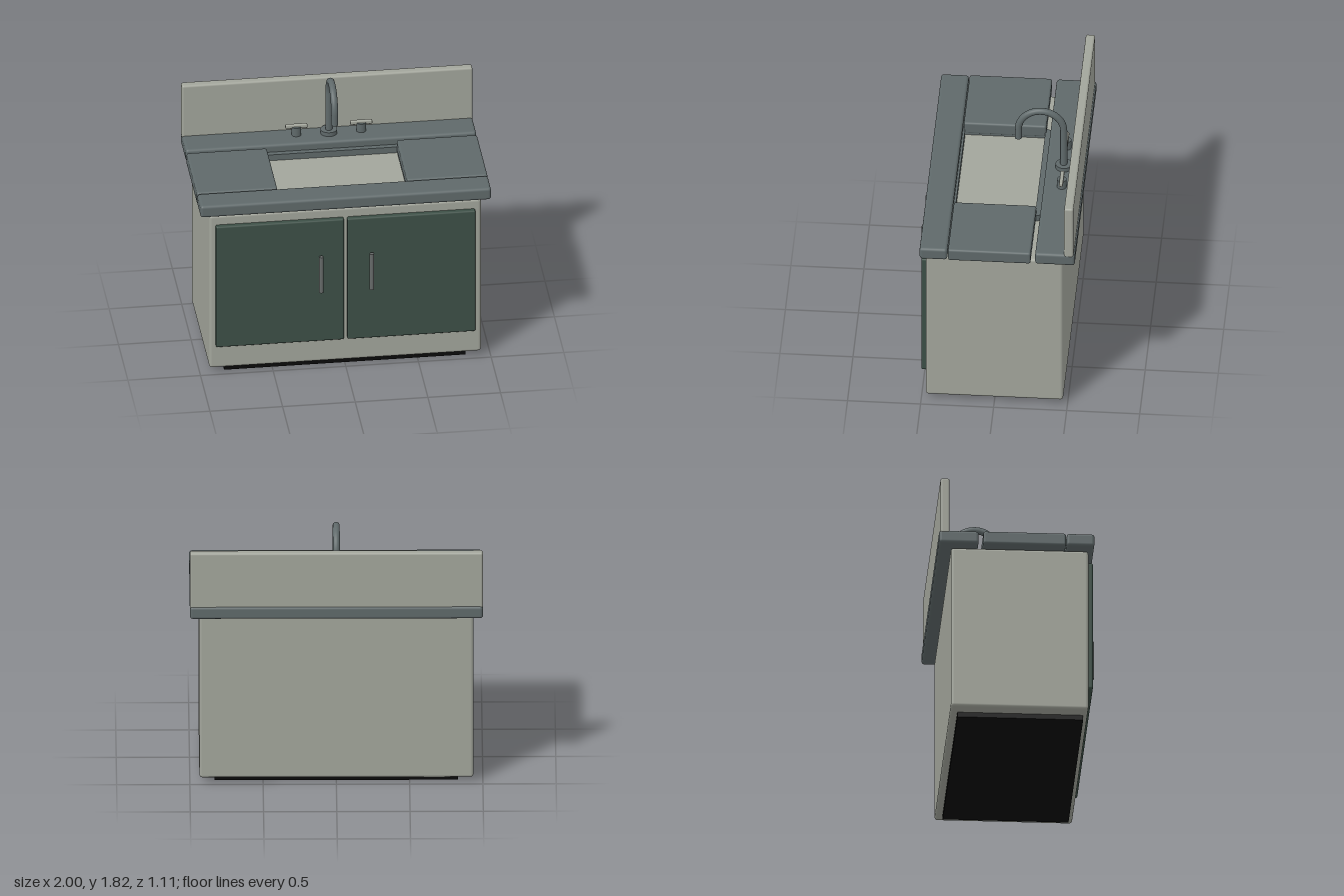
import * as THREE from 'three';
import { RoundedBoxGeometry } from 'three/addons/geometries/RoundedBoxGeometry.js';

const mat = (name, color) => Object.assign(new THREE.MeshStandardMaterial({ color }), { name });

export function createModel() {
  const root = new THREE.Group();
  root.name = 'sinkCabinet';

  const paint = mat('warmGrey', 0xa2a59b);
  const stone = mat('slateGrey', 0x5f696a);
  const green = mat('darkGreen', 0x3c4f46);
  const steel = mat('handleGrey', 0x666a69);
  const black = mat('black', 0x0a0a0a);

  const add = (name, geometry, material, parent = root) => {
    const mesh = new THREE.Mesh(geometry, material);
    mesh.name = name;
    parent.add(mesh);
    return mesh;
  };
  // Rounded box given by its limits on each axis
  const block = (name, [x0, x1], [y0, y1], [z0, z1], radius, material, parent) => {
    const geometry = new RoundedBoxGeometry(x1 - x0, y1 - y0, z1 - z0, 3, radius);
    geometry.translate((x0 + x1) / 2, (y0 + y1) / 2, (z0 + z1) / 2);
    return add(name, geometry, material, parent);
  };
  // Upright cylinder standing on height y0
  const post = (name, x, z, y0, y1, r, material, parent) => {
    const geometry = new THREE.CylinderGeometry(r, r, y1 - y0, 24);
    geometry.translate(x, (y0 + y1) / 2, z);
    return add(name, geometry, material, parent);
  };

  // Cabinet body on a recessed plinth
  add('plinth', new THREE.BoxGeometry(1.66, 0.06, 0.86), black).position.set(0, 0.03, 0.01);
  block('cabinetBody', [-0.935, 0.935], [0.035, 1.225], [-0.47, 0.47], 0.02, paint);

  // Countertop slabs around the basin opening
  const top = [1.235, 1.325];
  block('counterFront', [-1, 1], top, [0.318, 0.508], 0.02, stone);
  block('counterBack', [-1, 1], top, [-0.555, -0.283], 0.02, stone);
  block('backsplash', [-1, 1], [1.305, 1.717], [-0.545, -0.482], 0.015, paint);

  // Doors, pulls, side slabs and taps, mirrored left and right
  for (const [side, s] of [['left', 1], ['right', -1]]) {
    const span = (a, b) => (s > 0 ? [a, b] : [-b, -a]);
    block(side + 'CounterSide', span(0.447, 1), top, [-0.252, 0.313], 0.015, stone);
    block(side + 'Door', span(0.012, 0.893), [0.212, 1.155], [0.455, 0.504], 0.012, green);
    post(side + 'DoorHandle', s * 0.174, 0.54, 0.615, 0.893, 0.015, steel);

    const tap = new THREE.Group();
    tap.name = side + 'Tap';
    root.add(tap);
    post('tapStem', s * 0.223, -0.408, 1.315, 1.39, 0.033, stone, tap);
    block('tapLever', span(0.147, 0.299), [1.376, 1.406], [-0.421, -0.395], 0.008, paint, tap);
  }

  // Basin rim: rounded ring just below the slabs
  const rim = new THREE.Shape();
  const w = 0.493, near = 0.345, far = -0.285, c = 0.035;
  rim.moveTo(-w + c, far);
  rim.lineTo(w - c, far);
  rim.quadraticCurveTo(w, far, w, far + c);
  rim.lineTo(w, near - c);
  rim.quadraticCurveTo(w, near, w - c, near);
  rim.lineTo(-w + c, near);
  rim.quadraticCurveTo(-w, near, -w, near - c);
  rim.lineTo(-w, far + c);
  rim.quadraticCurveTo(-w, far, -w + c, far);
  rim.holes.push(new THREE.Path([
    new THREE.Vector2(-0.45, -0.245), new THREE.Vector2(-0.45, 0.303),
    new THREE.Vector2(0.45, 0.303), new THREE.Vector2(0.45, -0.245),
  ]));
  const rimGeometry = new THREE.ExtrudeGeometry(rim, { depth: 0.06, bevelEnabled: false, curveSegments: 5 });
  rimGeometry.rotateX(Math.PI / 2);
  rimGeometry.translate(0, 1.27, 0);
  add('basinRim', rimGeometry, stone);

  // Gooseneck faucet: riser, half-circle arch and short drop
  const faucet = new THREE.Group();
  faucet.name = 'faucet';
  root.add(faucet);
  post('faucetBase', 0, -0.407, 1.315, 1.355, 0.058, stone, faucet);
  const R = 0.155, cz = -0.25, cy = 1.637, r = 0.024;
  post('faucetRiser', 0, cz - R, 1.33, cy, r, stone, faucet);
  post('faucetSpout', 0, cz + R, 1.56, cy, r, stone, faucet);
  const arch = add('faucetArch', new THREE.TorusGeometry(R, r, 16, 40, Math.PI), stone, faucet);
  arch.rotation.y = Math.PI / 2;
  arch.position.set(0, cy, cz);

  return root;
}
